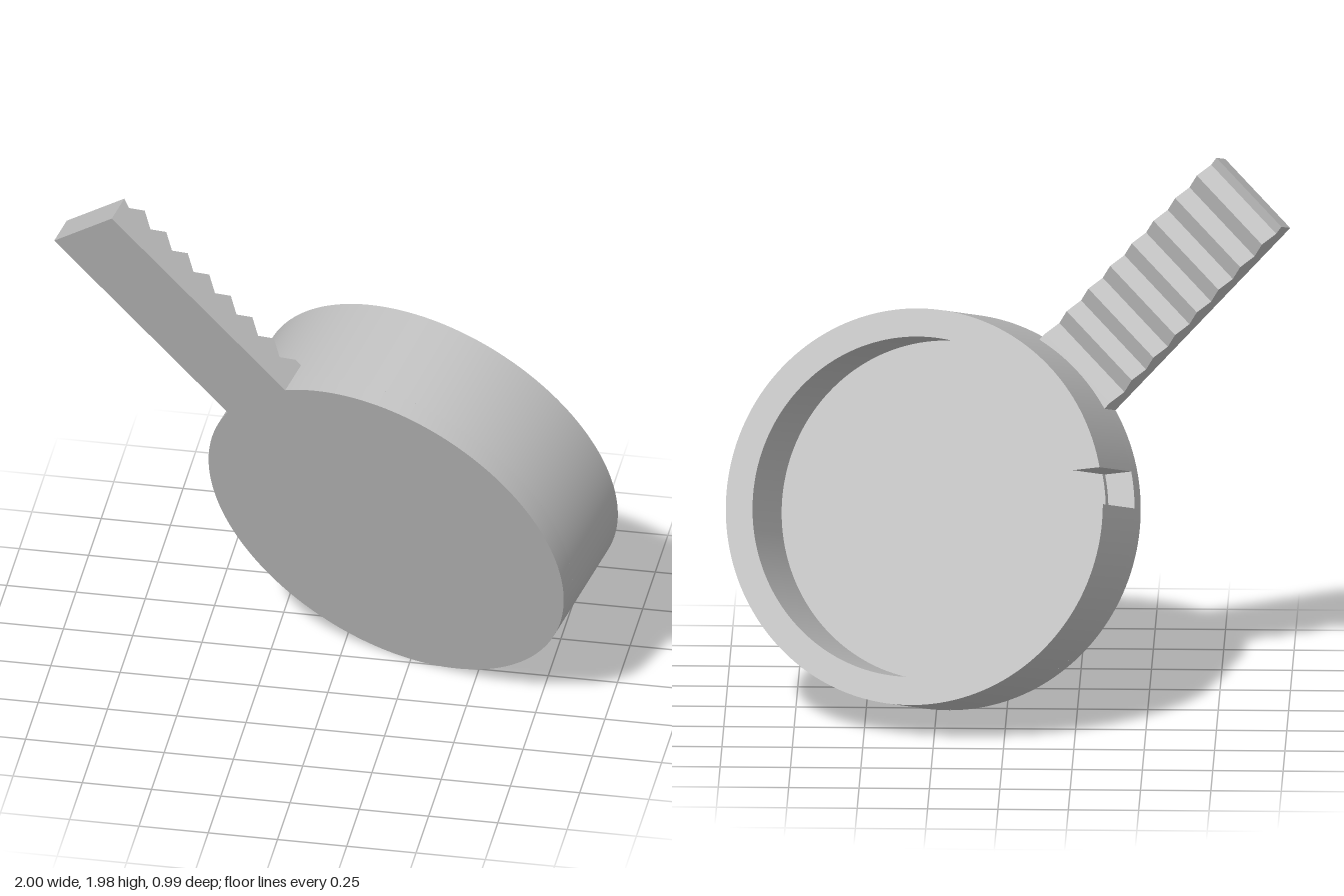
import * as THREE from 'three';
import { toCreasedNormals } from 'three/addons/utils/BufferGeometryUtils.js';

const R = 0.705, RI = 0.605;       // outer and inner cup radius
const DEPTH = 0.43, FLOOR = 0.1;   // cup depth and floor thickness
const SLOT_Z = 0.07, SLOT_HALF = 0.066, SLOT_ANGLE = 0.89;

export function createModel() {
  const model = new THREE.Group();
  const grey = new THREE.MeshStandardMaterial({ color: 0xbcbcbc });
  grey.name = 'plain grey';

  // Local frame: y runs along the handle, z from the closed face to the open rim
  const cup = new THREE.Group();
  cup.name = 'tiltedCup';
  const axis = new THREE.Vector3(0.29, 0.313, -0.905).normalize();
  const along = new THREE.Vector3(-0.678, 0.733, 0.036);
  along.addScaledVector(axis, -along.dot(axis)).normalize();
  const side = new THREE.Vector3().crossVectors(along, axis);
  cup.quaternion.setFromRotationMatrix(new THREE.Matrix4().makeBasis(side, along, axis));
  cup.position.set(0.2, 0.67, 0.193);
  model.add(cup);

  const add = (name, geometry) => {
    const mesh = new THREE.Mesh(toCreasedNormals(geometry, 0.5), grey);
    mesh.name = name;
    cup.add(mesh);
  };
  const extrude = (shape, depth, z = 0) =>
    new THREE.ExtrudeGeometry(shape, { depth, bevelEnabled: false, curveSegments: 96 }).translate(0, 0, z);
  const disc = (r) => new THREE.Shape().absarc(0, 0, r, 0, Math.PI * 2, false);

  // Closed face and raised inner floor
  add('base', extrude(disc(R), SLOT_Z));
  add('floor', extrude(disc(RI + 0.002), FLOOR - SLOT_Z, SLOT_Z));

  // Wall with a parallel-sided slot
  const gapOut = Math.asin(SLOT_HALF / R), gapIn = Math.asin(SLOT_HALF / RI);
  const full = SLOT_ANGLE + Math.PI * 2;
  const ring = new THREE.Shape();
  ring.absarc(0, 0, R, SLOT_ANGLE + gapOut, full - gapOut, false);
  ring.absarc(0, 0, RI, full - gapIn, SLOT_ANGLE + gapIn, true);
  ring.closePath();
  add('slottedWall', extrude(ring, DEPTH - SLOT_Z, SLOT_Z));

  // Handle: side profile with a row of ridges, extruded across its width
  const start = 0.583, hub = 0.69, end = 1.597, ridges = 8, width = 0.348;
  const low = 0.085, high = 0.125, pitch = (end - hub) / ridges;
  const profile = new THREE.Shape();
  profile.moveTo(start, 0);
  profile.lineTo(end, 0);
  profile.lineTo(end, 0.1);
  for (let i = 0; i < ridges; i++) {
    const y = end - i * pitch;
    profile.lineTo(y - pitch * 0.3, low);
    profile.lineTo(y - pitch * 0.8, high);
  }
  profile.lineTo(start, high);
  profile.closePath();
  const turn = new THREE.Matrix4().makeBasis(
    new THREE.Vector3(0, 1, 0), new THREE.Vector3(0, 0, 1), new THREE.Vector3(1, 0, 0));
  add('ridgedHandle', extrude(profile, width, -width / 2).applyMatrix4(turn));

  return model;
}
